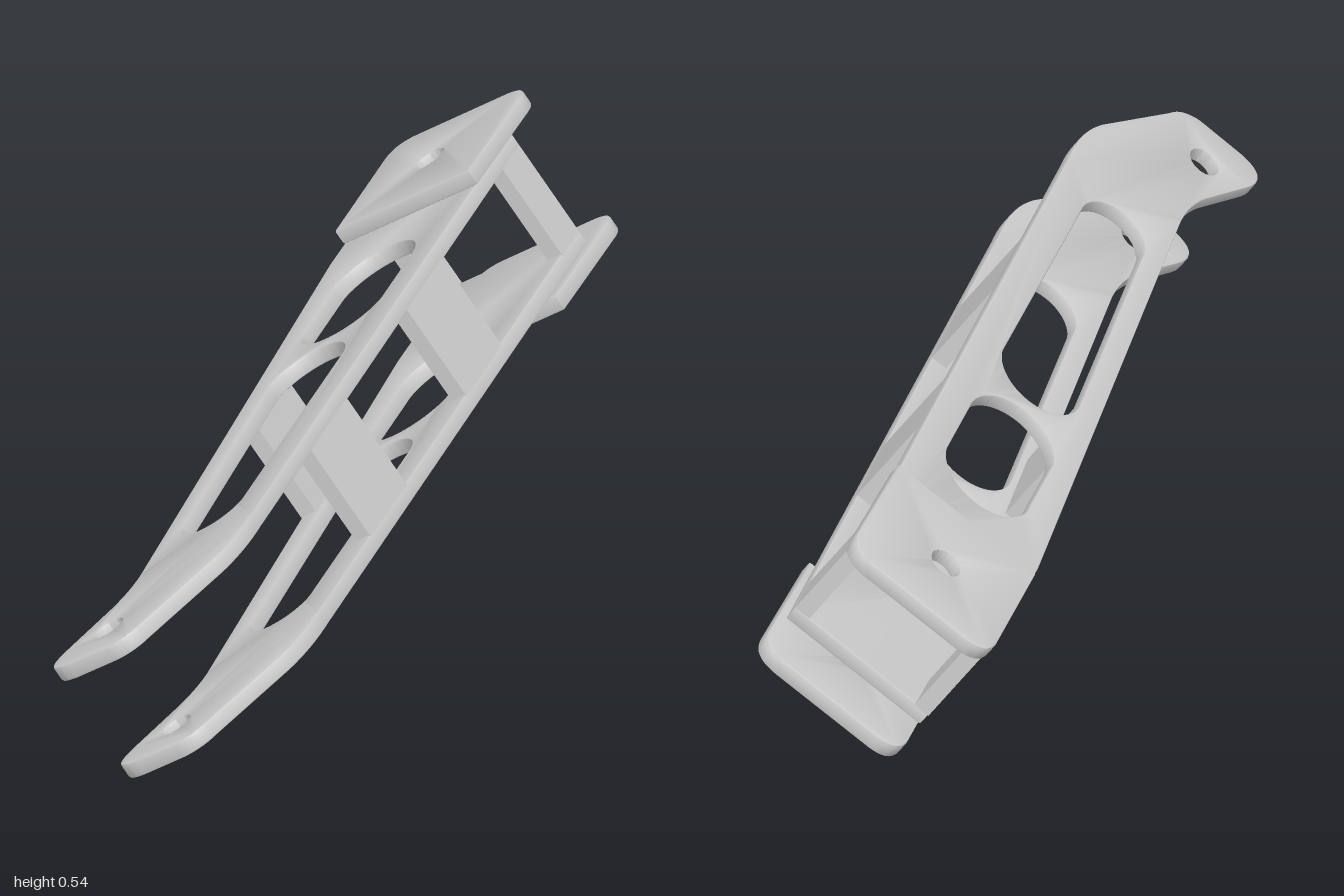
import * as THREE from 'three';
import { toCreasedNormals } from 'three/addons/utils/BufferGeometryUtils.js';

const THICK = 0.035, BEVEL = 0.005;
const material = new THREE.MeshStandardMaterial({ color: 0xcccccc });

// Slab of a shape drawn in (across, -z), lying flat with its underside at the given height
function slab(name, shape, bottom) {
  const geometry = new THREE.ExtrudeGeometry(shape, {
    depth: THICK - 2 * BEVEL, bevelThickness: BEVEL, bevelSize: BEVEL,
    bevelOffset: -BEVEL, bevelSegments: 2, curveSegments: 20,
  });
  geometry.rotateX(-Math.PI / 2);
  geometry.translate(0, bottom + BEVEL, 0);
  const mesh = new THREE.Mesh(toCreasedNormals(geometry, 0.6), material);
  mesh.name = name;
  return mesh;
}

// Slot with round ends of different radii; a round hole when both ends coincide
function slot(xBack, zBack, rBack, xFront = xBack, zFront = zBack, rFront = rBack) {
  const path = new THREE.Path();
  path.absarc(xBack, -zBack, rBack, 0, Math.PI, false);
  path.absarc(xFront, -zFront, rFront, Math.PI, 2 * Math.PI, false);
  path.closePath();
  return path;
}

// Long tapered side plate with a bent front foot
function plateShape() {
  const s = new THREE.Shape();
  const line = (x, z) => s.lineTo(x, -z);
  const curve = (cx, cz, x, z) => s.quadraticCurveTo(cx, -cz, x, -z);
  s.moveTo(0.045, 0.882);
  line(0.018, -0.6);
  line(0.002, 0.66);
  curve(0.002, 0.73, -0.03, 0.79);
  line(-0.1, 0.905);
  curve(-0.14, 0.972, -0.065, 0.988);
  line(0.04, 1.0);
  curve(0.085, 0.998, 0.105, 0.96);
  line(0.225, 0.79);
  curve(0.262, 0.73, 0.265, 0.63);
  line(0.378, -0.852);
  s.closePath();
  s.holes.push(
    slot(0.1535, -0.05, 0.093, 0.125, 0.505, 0.075),
    slot(0.181, -0.44, 0.1, 0.168, -0.28, 0.1),
    slot(0.002, 0.89, 0.032),
  );
  return s;
}

// Square end pad with two rounded rear corners
function padShape() {
  const s = new THREE.Shape();
  s.moveTo(0.03, 0.672);
  s.lineTo(0.373, 0.64);
  s.lineTo(0.401, 0.915);
  s.quadraticCurveTo(0.407, 0.975, 0.345, 0.982);
  s.lineTo(0.12, 1.001);
  s.quadraticCurveTo(0.058, 1.006, 0.053, 0.945);
  s.closePath();
  s.holes.push(slot(0.21, -0.825, 0.032));
  return s;
}

export function createModel() {
  const model = new THREE.Group();
  model.name = 'linkArm';
  const frame = new THREE.Group();
  frame.name = 'tiltedFrame';
  frame.rotation.z = THREE.MathUtils.degToRad(35);
  model.add(frame);

  // Two parallel plates, each with a pad on its outer face
  const plate = plateShape(), pad = padShape();
  frame.add(slab('lowerPlate', plate, 0.078), slab('lowerPad', pad, 0.043));
  frame.add(slab('upperPlate', plate, 0.317), slab('upperPad', pad, 0.352));

  // Cross webs: name, outer edge x, centre z, length, yaw
  const low = 0.108, high = 0.322, web = 0.035;
  const webs = [
    ['rightFrontWeb', 0.295, 0.235, 0.205, -0.077, -1],
    ['rightMiddleWeb', 0.337, -0.31, 0.2, -0.077, -1],
    ['rightRearWeb', 0.375, -0.805, 0.095, -0.077, -1],
    ['leftMiddleWeb', 0.011, -0.06, 0.2, -0.014, 1],
    ['leftRearWeb', 0.039, -0.835, 0.095, -0.09, 1],
  ];
  for (const [name, edge, z, length, yaw, inward] of webs) {
    const mesh = new THREE.Mesh(new THREE.BoxGeometry(web, high - low, length), material);
    mesh.name = name;
    mesh.position.set(edge + inward * web / 2, (low + high) / 2, z);
    mesh.rotation.y = yaw;
    frame.add(mesh);
  }
  return model;
}
